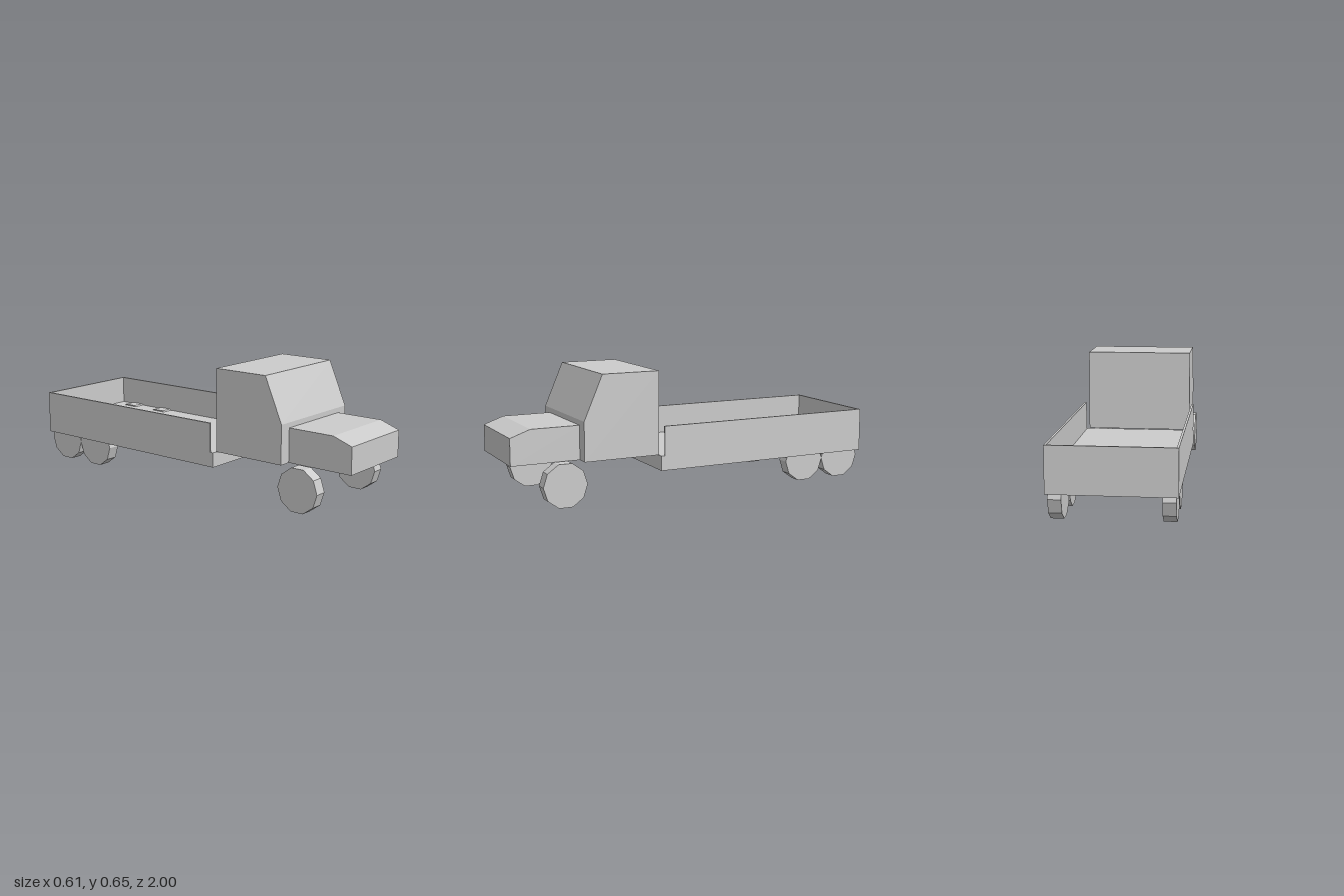
import * as THREE from 'three';

const material = new THREE.MeshStandardMaterial({ color: 0xcccccc, flatShading: true });

function addMesh(parent, name, geometry) {
  const mesh = new THREE.Mesh(geometry, material);
  mesh.name = name;
  parent.add(mesh);
  return mesh;
}

// Box given by its minimum and maximum corners
function addBox(parent, name, [x0, y0, z0], [x1, y1, z1]) {
  const mesh = addMesh(parent, name, new THREE.BoxGeometry(x1 - x0, y1 - y0, z1 - z0));
  mesh.position.set((x0 + x1) / 2, (y0 + y1) / 2, (z0 + z1) / 2);
  return mesh;
}

// Side profile of [z, y] points, extruded across the width
function addProfile(parent, name, points, halfWidth) {
  const shape = new THREE.Shape(points.map(([z, y]) => new THREE.Vector2(-z, y)));
  const geometry = new THREE.ExtrudeGeometry(shape, { depth: halfWidth * 2, bevelEnabled: false });
  geometry.translate(0, 0, -halfWidth).rotateY(Math.PI / 2);
  return addMesh(parent, name, geometry);
}

export function createModel() {
  const truck = new THREE.Group();
  truck.name = 'truck';

  // Cab with sloping windscreen, and hood with a chamfered nose
  addProfile(truck, 'cab', [[0.233, 0.216], [0.64, 0.216], [0.64, 0.419], [0.54, 0.649], [0.233, 0.649]], 0.283);
  addProfile(truck, 'hood', [[0.64, 0.216], [1, 0.216], [1, 0.355], [0.895, 0.392], [0.64, 0.392]], 0.218);

  // Open cargo bed: floor, two side walls and a tailgate
  const bed = new THREE.Group();
  bed.name = 'cargoBed';
  truck.add(bed);
  const w = 0.307, t = 0.011, floorY = 0.214, topY = 0.367;
  addBox(bed, 'bedFloor', [-w, 0.137, -1], [w, floorY, 0.231]);
  addBox(bed, 'leftWall', [w - t, floorY, -1], [w, topY, 0.21]);
  addBox(bed, 'rightWall', [-w, floorY, -1], [-w + t, topY, 0.21]);
  addBox(bed, 'tailgate', [-w + t, floorY, -1], [w - t, topY, -1 + t]);

  // Ten-sided wheels resting on a flat; the rear ones just reach through the floor
  const radius = 0.1158;
  const wheelGeometry = new THREE.CylinderGeometry(radius, radius, 0.064, 10).rotateZ(Math.PI / 2);
  const axles = { frontWheel: 0.746, middleWheel: -0.639, rearWheel: -0.869 };
  for (const [name, z] of Object.entries(axles)) {
    for (const side of [1, -1]) {
      const wheel = addMesh(truck, name + (side > 0 ? 'Left' : 'Right'), wheelGeometry);
      wheel.position.set(side * 0.264, radius * Math.cos(Math.PI / 10), z);
    }
  }
  return truck;
}
